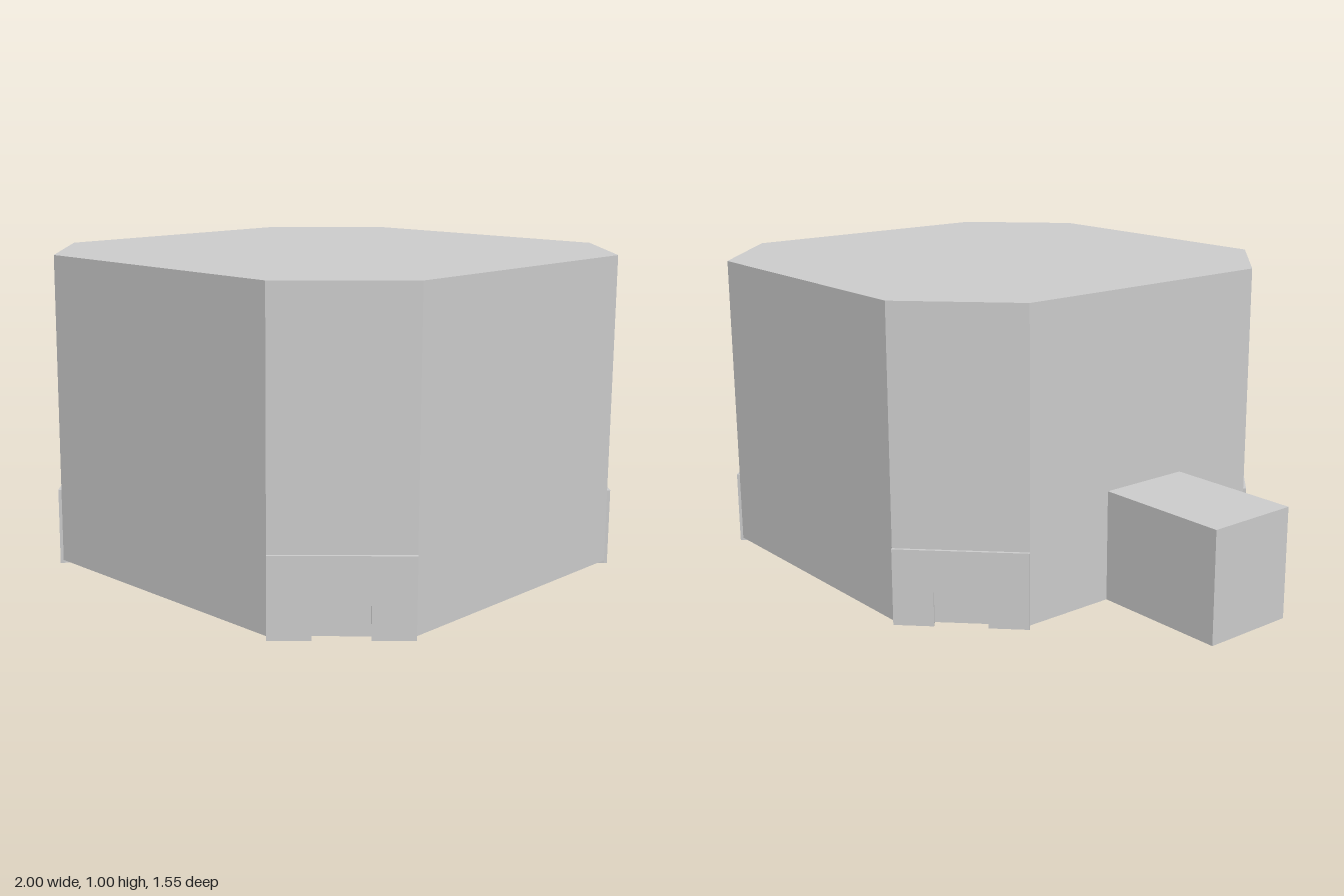
import * as THREE from 'three';

const material = new THREE.MeshStandardMaterial({ color: 0xcccccc, flatShading: true });

function shapeOf(points) {
  return new THREE.Shape(points.map(([x, y]) => new THREE.Vector2(x, y)));
}

function addMesh(parent, name, geometry) {
  const mesh = new THREE.Mesh(geometry, material);
  mesh.name = name;
  parent.add(mesh);
  return mesh;
}

// Extrudes a plan outline (x, z) downwards from the height `top`.
function slab(points, top, depth) {
  return new THREE.ExtrudeGeometry(shapeOf(points), { depth, bevelEnabled: false })
    .rotateX(Math.PI / 2)
    .translate(0, top, 0);
}

export function createModel() {
  const model = new THREE.Group();
  model.name = 'chamferedBlock';

  const half = 0.767, cut = 0.295, centreX = 0.222, thick = 0.01;
  const flat = half - cut;

  // Octagonal body with four narrow corner faces
  const body = addMesh(model, 'body', slab([
    [half, -flat], [half, flat], [flat, half], [-flat, half],
    [-half, flat], [-half, -flat], [-flat, -half], [flat, -half],
  ], 1, 1 - thick));
  body.position.x = centreX;

  // Square arm on the right side
  const armEnd = centreX - half;
  const arm = addMesh(model, 'sideArm', new THREE.BoxGeometry(armEnd + 1, 0.36, 0.315));
  arm.position.set((armEnd - 1) / 2, 0.19, 0);

  // Thin corner brackets: an arched plate with two tapered tabs under the body
  const w = cut * Math.SQRT1_2;
  const faceZ = (half - cut / 2) * Math.SQRT2;
  const slot = 0.083;
  const plateGeometry = new THREE.ExtrudeGeometry(shapeOf([
    [-w, 0], [-slot, 0], [-slot, 0.11], [-0.055, 0.14], [-0.025, 0.153],
    [0.025, 0.153], [0.055, 0.14], [slot, 0.11], [slot, 0], [w, 0], [w, 0.245], [-w, 0.245],
  ]), { depth: thick, bevelEnabled: false }).translate(0, 0, faceZ);

  for (let i = 0; i < 4; i++) {
    const bracket = new THREE.Group();
    bracket.name = 'cornerBracket';
    bracket.position.x = centreX;
    bracket.rotation.y = Math.PI / 4 + i * Math.PI / 2;
    addMesh(bracket, 'archedPlate', plateGeometry);
    for (const s of [-1, 1]) {
      addMesh(bracket, 'footTab', slab([
        [s * slot, faceZ], [s * w, faceZ],
        [s * (w - 0.03), faceZ - 0.14], [s * (slot + 0.02), faceZ - 0.14],
      ], thick, thick));
    }
    model.add(bracket);
  }

  return model;
}
